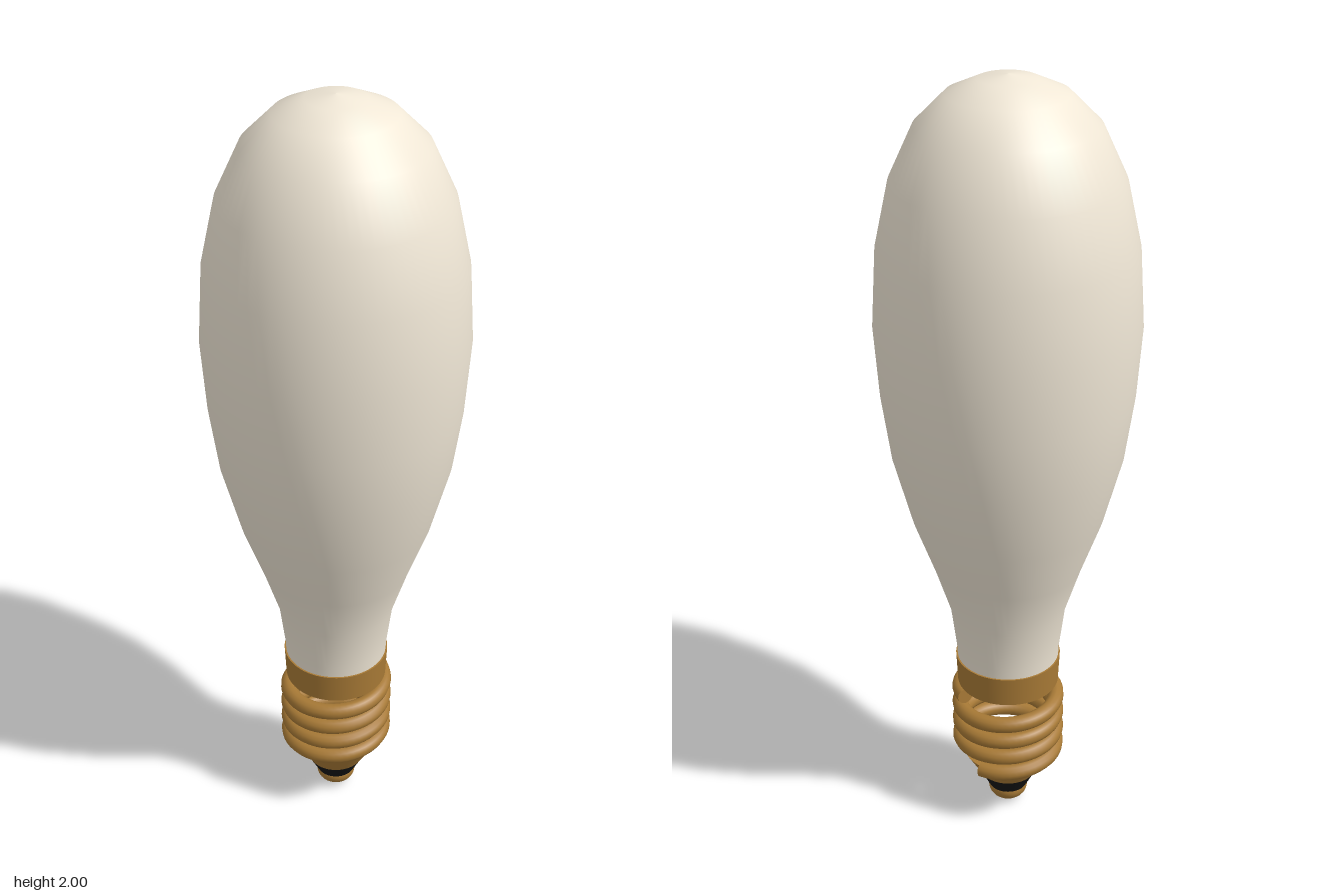
import * as THREE from 'three';

const glass = new THREE.MeshStandardMaterial({ color: 0xf0e7d6, side: THREE.DoubleSide });
const brass = new THREE.MeshStandardMaterial({ color: 0xa87a36 });
const black = new THREE.MeshStandardMaterial({ color: 0x161616 });

// Helix that rises from the cone to just under the collar
class Helix extends THREE.Curve {
  getPoint(t, target = new THREE.Vector3()) {
    const turn = 0.08 + t * 3.92;
    const a = turn * Math.PI * 2;
    return target.set(0.127 * Math.cos(a), 0.165 + 0.0515 * turn, -0.127 * Math.sin(a));
  }
}

export function createModel() {
  const group = new THREE.Group();
  const add = (name, geometry, material, y = 0) => {
    const mesh = new THREE.Mesh(geometry, material);
    mesh.name = name;
    mesh.position.y = y;
    group.add(mesh);
    return mesh;
  };
  // Closed round section between two heights
  const section = (name, rTop, rBottom, y0, y1, material) =>
    add(name, new THREE.CylinderGeometry(rTop, rBottom, y1 - y0, 64), material, (y0 + y1) / 2);

  // Glass envelope, bottom to top
  const profile = [
    [0.13, 0.44], [0.133, 0.5], [0.148, 0.62], [0.189, 0.75], [0.239, 0.89], [0.286, 1.07],
    [0.308, 1.23], [0.32, 1.41], [0.308, 1.6], [0.273, 1.76], [0.215, 1.885], [0.143, 1.957],
    [0.07, 1.99], [0, 2],
  ].map(([r, y]) => new THREE.Vector2(r, y));
  add('glassBulb', new THREE.LatheGeometry(profile, 64), glass);

  section('collar', 0.136, 0.132, 0.395, 0.475, brass);

  // Screw thread with capped ends
  const helix = new Helix();
  add('screwThread', new THREE.TubeGeometry(helix, 200, 0.021, 12), brass);
  for (const t of [0, 1]) {
    const cap = add('threadEnd', new THREE.CircleGeometry(0.021, 12), brass);
    const p = helix.getPoint(t);
    cap.position.copy(p);
    cap.lookAt(p.clone().addScaledVector(helix.getTangent(t), t ? 1 : -1));
  }

  // Base: brass cone, insulator and contact
  section('baseCone', 0.119, 0.076, 0.095, 0.168, brass);
  section('insulator', 0.076, 0.05, 0.045, 0.095, black);
  add('contactTip', new THREE.SphereGeometry(0.052, 32, 16), brass, 0.04).scale.y = 0.04 / 0.052;

  return group;
}
